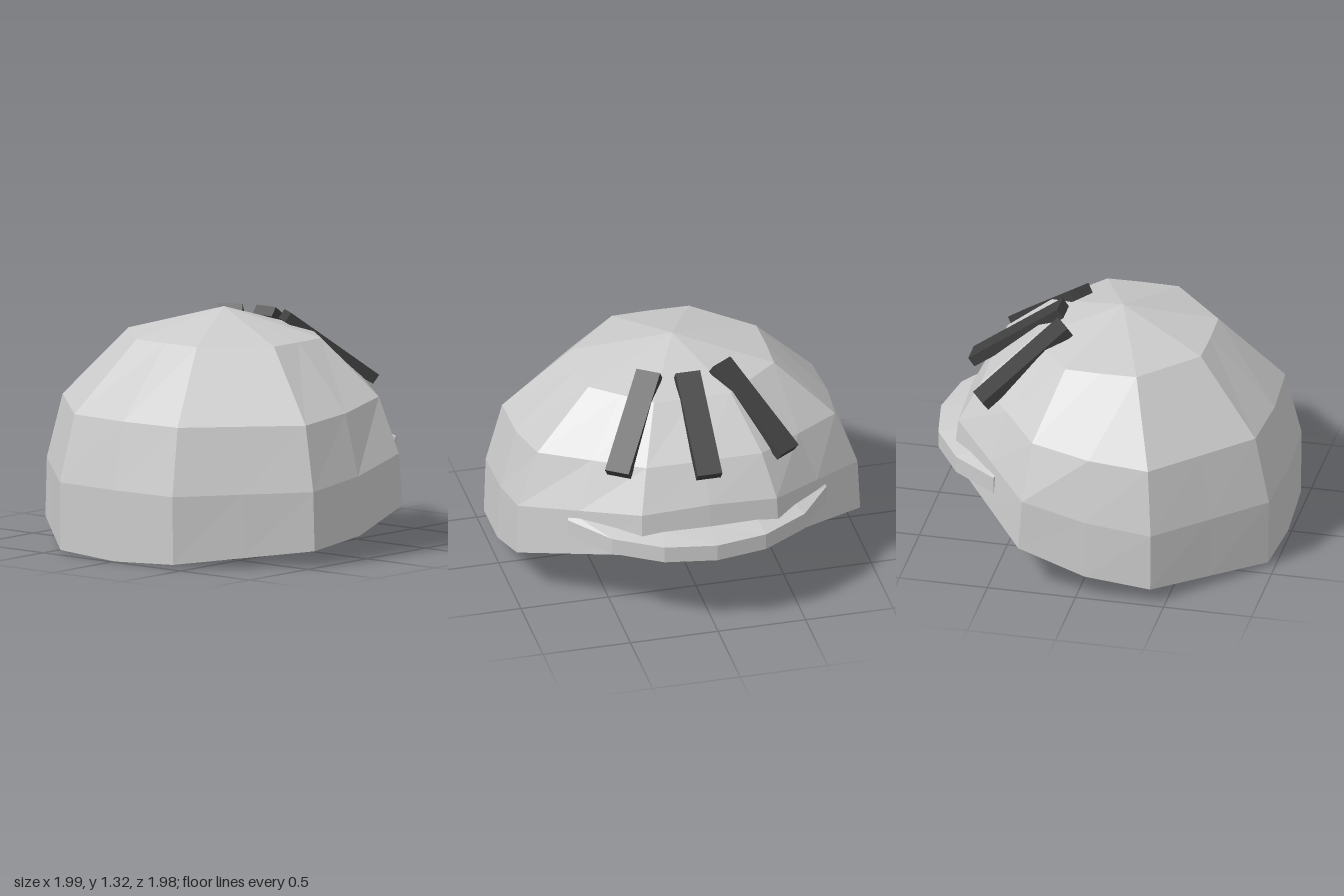
import * as THREE from 'three';

// Mesh from closed cross-section loops (arrays of [x,y,z]), with fan or polygon ends
function loft(loops, startTip, endTip, material) {
  const pos = [];
  const tri = (a, b, c) => pos.push(...a, ...b, ...c);
  const n = loops[0].length;
  for (let i = 0; i < loops.length - 1; i++) {
    for (let j = 0; j < n; j++) {
      const k = (j + 1) % n;
      const [a, b, c, d] = [loops[i][j], loops[i][k], loops[i + 1][k], loops[i + 1][j]];
      tri(a, b, c);
      tri(a, c, d);
    }
  }
  const last = loops[loops.length - 1];
  for (let j = 0; j < n; j++) {
    const k = (j + 1) % n;
    tri(startTip, loops[0][k], loops[0][j]);
    tri(endTip, last[j], last[k]);
  }
  const geometry = new THREE.BufferGeometry();
  geometry.setAttribute('position', new THREE.Float32BufferAttribute(pos, 3));
  geometry.computeVertexNormals();
  return new THREE.Mesh(geometry, material);
}

const mid = (a, b) => a.map((v, i) => (v + b[i]) / 2);
const mirror = ([x, y, z]) => [-x, y, z];

// Full dome ring from its +x half: front, two corners, side, two corners, back
function domeRing([front, a, b, side, c, d, back]) {
  const half = [a, mid(a, b), b, side, c, mid(c, d), d];
  return [front, ...half, back, ...half.map(mirror).reverse()];
}

export function createModel() {
  const group = new THREE.Group();
  const grey = new THREE.MeshStandardMaterial({ color: 0xcccccc, flatShading: true });
  const dark = new THREE.MeshStandardMaterial({ color: 0x404040, flatShading: true });

  // Eight-sided dome with slightly bowed sides, its rim rising to the back
  const rings = [
    [[0, 0, 0.98], [0.41, 0.02, 0.96], [0.98, 0.09, 0.42], [0.995, 0.135, 0.05],
      [0.98, 0.26, -0.33], [0.39, 0.45, -0.83], [0, 0.46, -0.84]],
    [[0, 0.4, 0.985], [0.41, 0.4, 0.965], [0.97, 0.42, 0.42], [0.98, 0.465, 0.05],
      [0.97, 0.55, -0.31], [0.385, 0.69, -0.805], [0, 0.71, -0.815]],
    [[0, 0.775, 0.905], [0.375, 0.775, 0.88], [0.885, 0.78, 0.385], [0.89, 0.81, 0.05],
      [0.85, 0.86, -0.28], [0.33, 0.92, -0.685], [0, 0.925, -0.695]],
    [[0, 1.17, 0.54], [0.22, 1.17, 0.535], [0.53, 1.17, 0.24], [0.535, 1.17, 0.04],
      [0.53, 1.17, -0.165], [0.22, 1.17, -0.42], [0, 1.17, -0.42]],
  ].map(domeRing);
  const dome = loft(rings, [0, 0.125, 0.1], [0, 1.32, 0.045], grey);
  dome.name = 'dome';
  group.add(dome);

  // Curved ledge around the back: outer x, z then inner x, z per station
  const stations = [[0.74, -0.525, 0.715, -0.5], [0.55, -0.78, 0.5, -0.69],
    [0.29, -0.94, 0.27, -0.81], [0, -0.99, 0, -0.82]];
  const sections = [
    ...stations,
    ...stations.slice(0, 3).reverse().map(([a, b, c, d]) => [-a, b, -c, d]),
  ].map(([ox, oz, ix, iz]) => [
    [ox, 0.455, oz], [ix, 0.455, iz], [ix, 0.58, iz], [ox, 0.55, oz],
  ]);
  const endCentre = (s) => mid(s[0], s[2]);
  const ledge = loft(sections, endCentre(sections[0]), endCentre(sections[6]), grey);
  ledge.name = 'backLedge';
  group.add(ledge);

  // Three dark strips fanning out down the back
  const stripGeometry = new THREE.BoxGeometry(0.14, 0.06, 0.625);
  for (const side of [-1, 0, 1]) {
    const strip = new THREE.Mesh(stripGeometry, dark);
    strip.name = ['rightStrip', 'centreStrip', 'leftStrip'][side + 1];
    strip.rotation.set(-0.63, -0.6 * side, 0, 'YXZ');
    strip.position.set(0.343 * side, 1.07, side ? -0.447 : -0.55);
    group.add(strip);
  }

  return group;
}
